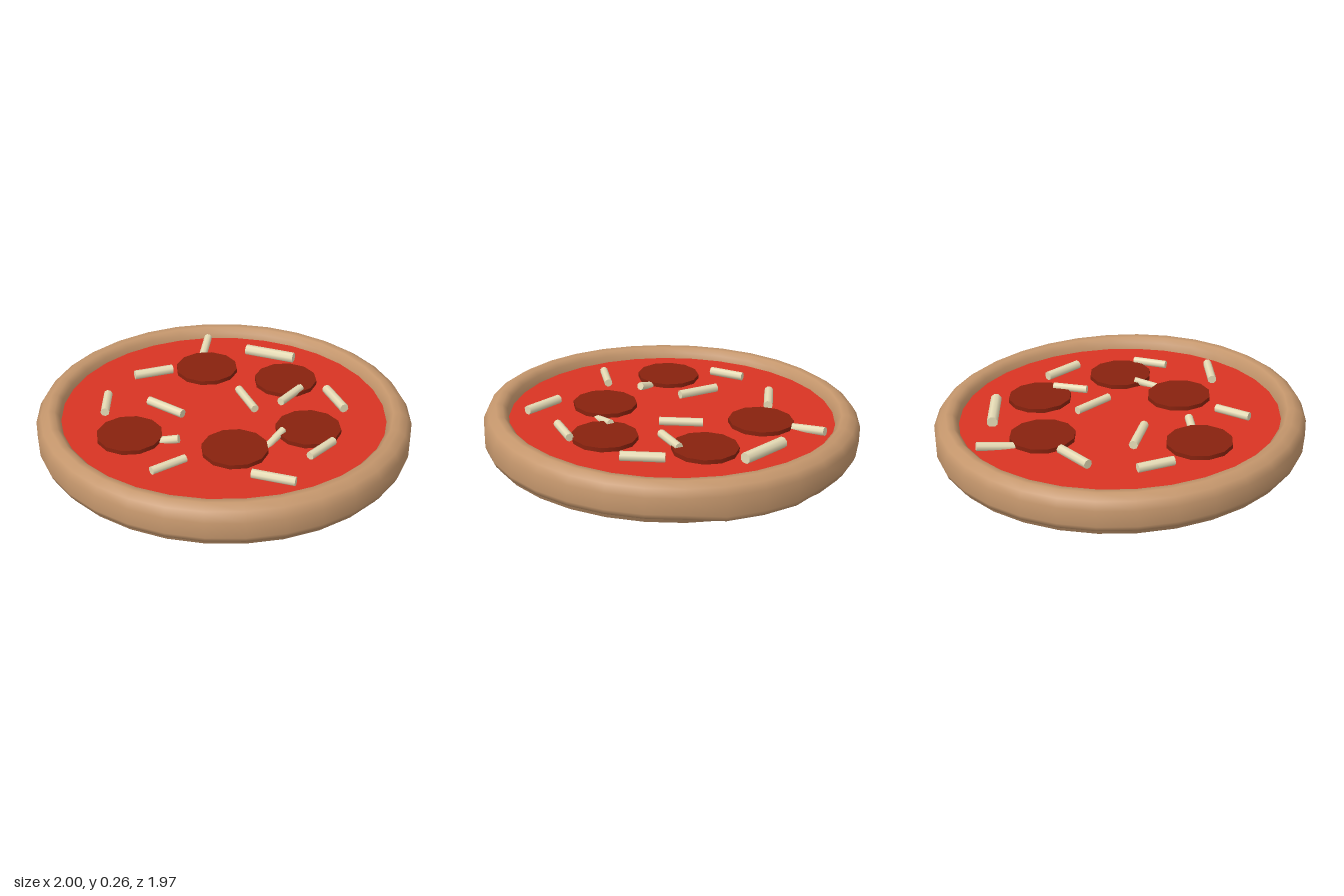
import * as THREE from 'three';

const mat = (name, color, side = THREE.FrontSide) => {
  const m = new THREE.MeshStandardMaterial({ color, side });
  m.name = name;
  return m;
};

const SEGMENTS = 32;
const SAUCE_Y = 0.145;

function lathe(points) {
  return new THREE.LatheGeometry(points.map(([x, y]) => new THREE.Vector2(x, y)), SEGMENTS);
}

export function createModel() {
  const crustMat = mat('crust brown', 0xc4966c);
  const sauceMat = mat('sauce red', 0xd93423);
  const pepperoniMat = mat('pepperoni dark red', 0x88220e);
  const cheeseMat = mat('cheese cream', 0xe6dcb6);

  const model = new THREE.Group();
  model.name = 'pizza';
  const add = (name, geometry, material, parent = model) => {
    const mesh = new THREE.Mesh(geometry, material);
    mesh.name = name;
    parent.add(mesh);
    return mesh;
  };

  // Thin dough base: flat underside and a slightly flared rim
  add('baseUnderside', lathe([[0, 0], [0.968, 0]]), crustMat);
  add('baseRim', lathe([[0.968, 0], [0.988, 0.035]]), crustMat);

  // Rounded crust roll, swelling toward one side and sagging at the back
  const crust = lathe([
    [0.95, 0.024], [0.99, 0.028], [1, 0.055], [1, 0.14], [0.975, 0.178],
    [0.935, 0.203], [0.9, 0.2], [0.875, 0.175], [0.866, 0.135],
  ]);
  const p = crust.attributes.position;
  for (let i = 0; i < p.count; i++) {
    const x = p.getX(i), y = p.getY(i), z = p.getZ(i);
    if (y > 0.16) {
      const swell = Math.max(0, Math.cos(Math.atan2(z, x) - 0.5));
      p.setY(i, y + 0.014 * swell * swell);
    } else if (y < 0.07 && z < 0 && Math.abs(x + 0.02) < 0.29) {
      p.setY(i, y - 0.022);
    }
  }
  add('crust', crust, crustMat);

  // Sauce surface
  const sauce = new THREE.CircleGeometry(0.869, SEGMENTS);
  sauce.rotateX(-Math.PI / 2);
  add('sauce', sauce, sauceMat).position.y = SAUCE_Y;

  // The dough is very slightly oval
  for (const part of model.children) part.scale.z = 0.982;

  // Pepperoni slices
  const pepperoni = new THREE.Group();
  pepperoni.name = 'pepperoni';
  model.add(pepperoni);
  const slice = new THREE.CylinderGeometry(0.172, 0.172, 0.03, 12);
  const slices = [[0.055, -0.475], [-0.37, -0.3], [0.455, -0.14], [0.28, 0.25], [-0.222, 0.493]];
  for (const [x, z] of slices) {
    add('pepperoniSlice', slice, pepperoniMat, pepperoni).position.set(x, SAUCE_Y + 0.008, z);
  }

  // Cheese shreds: start x, z, end x, z, radius, and optional drop at the end
  const cheese = new THREE.Group();
  cheese.name = 'cheese';
  model.add(cheese);
  const shreds = [
    [-0.32, -0.6, -0.05, -0.69, 0.03],
    [-0.59, -0.575, -0.48, -0.385, 0.023, 0.03],
    [0.3, -0.52, 0.495, -0.41, 0.025],
    [0.184, -0.44, 0.191, -0.25, 0.022],
    [-0.07, -0.215, 0.13, -0.105, 0.022],
    [-0.5, -0.155, -0.615, 0.03, 0.025],
    [0.635, -0.11, 0.625, 0.08, 0.022],
    [0.374, -0.03, 0.38, 0.14, 0.02, 0.035],
    [-0.365, 0.186, -0.135, 0.176, 0.024],
    [-0.585, 0.275, -0.465, 0.425, 0.024],
    [0.495, 0.385, 0.705, 0.305, 0.024],
    [0.012, 0.375, -0.11, 0.435, 0.022, 0.035],
    [0.155, 0.49, 0.1, 0.68, 0.022],
  ];
  const up = new THREE.Vector3(0, 1, 0);
  for (const [x0, z0, x1, z1, r, drop = 0] of shreds) {
    const a = new THREE.Vector3(x0, SAUCE_Y + 0.025, z0);
    const b = new THREE.Vector3(x1, SAUCE_Y + 0.025 - drop, z1);
    const dir = b.clone().sub(a);
    const shred = add('cheeseShred', new THREE.CylinderGeometry(r, r, dir.length(), 8), cheeseMat, cheese);
    shred.position.copy(a).add(b).multiplyScalar(0.5);
    shred.quaternion.setFromUnitVectors(up, dir.normalize());
  }

  // Slight tilt of the whole pizza, resting on the ground
  model.rotation.set(-0.015, 0, 0.015);
  model.position.y = 0.021;

  const root = new THREE.Group();
  root.name = 'pizzaModel';
  root.add(model);
  return root;
}
